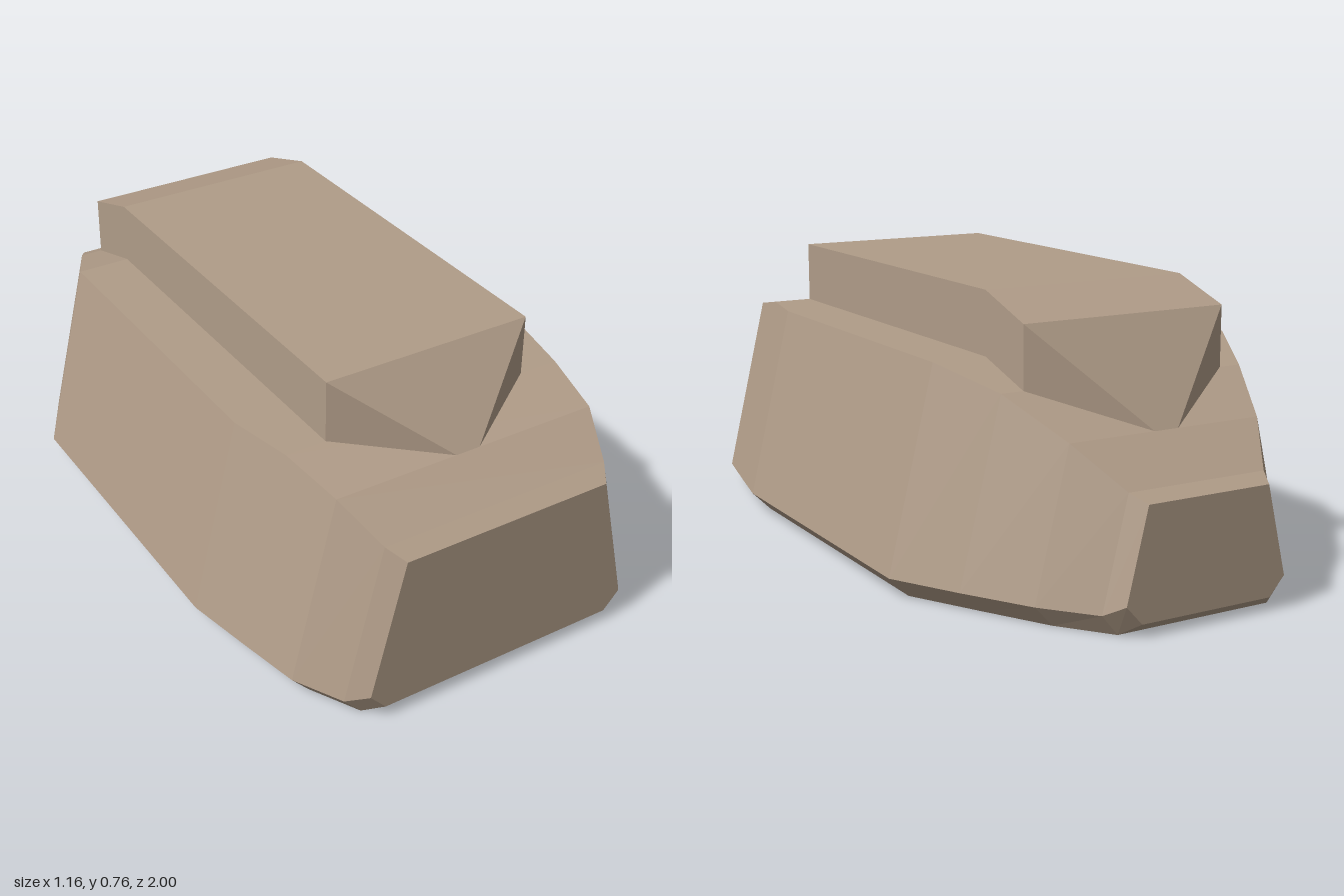
import * as THREE from 'three';

// Joins equal-sized rings of points, ordered front to back, into a closed faceted shell.
function loft(rings) {
  const pos = [];
  const tri = (a, b, c) => {
    const area = b.clone().sub(a).cross(c.clone().sub(a)).length();
    if (area > 1e-7) for (const p of [a, b, c]) pos.push(p.x, p.y, p.z);
  };
  const n = rings[0].length;
  for (let i = 0; i < rings.length - 1; i++) {
    const p = rings[i], q = rings[i + 1];
    for (let j = 0; j < n; j++) {
      const k = (j + 1) % n;
      tri(p[j], q[j], q[k]);
      tri(p[j], q[k], p[k]);
    }
  }
  const front = rings[0], back = rings[rings.length - 1];
  for (let j = 1; j < n - 1; j++) {
    tri(front[0], front[j], front[j + 1]);
    tri(back[0], back[j + 1], back[j]);
  }
  const geo = new THREE.BufferGeometry();
  geo.setAttribute('position', new THREE.Float32BufferAttribute(pos, 3));
  geo.computeVertexNormals();
  return geo;
}

// Mirrors the +x half of a section (bottom to top) into a full ring.
function ring(z, half) {
  const right = half.map(([x, y]) => new THREE.Vector3(x, y, z));
  const left = half.map(([x, y]) => new THREE.Vector3(-x, y, z)).reverse();
  return [...right, ...left];
}

export function createModel() {
  const group = new THREE.Group();
  const material = new THREE.MeshStandardMaterial({ color: 0xb09c88, flatShading: true });
  const add = (name, geometry) => {
    const mesh = new THREE.Mesh(geometry, material);
    mesh.name = name;
    group.add(mesh);
  };

  // Lower body: z, floor half width, floor y, sill half width, sill y, deck y.
  // The sides lean inwards at a constant slope from sill to deck.
  const lean = 0.24;
  const sections = [
    [1.0, 0.345, 0.035, 0.39, 0.085, 0.465],
    [0.95, 0.385, 0, 0.435, 0.055, 0.49],
    [0.82, 0.455, 0, 0.505, 0.055, 0.565],
    [0.64, 0.49, 0, 0.543, 0.055, 0.595],
    [0.455, 0.525, 0, 0.58, 0.055, 0.595],
    [-0.455, 0.525, 0, 0.58, 0.055, 0.595],
    [-0.64, 0.425, 0, 0.48, 0.055, 0.54],
    [-0.82, 0.325, 0, 0.375, 0.055, 0.445],
    [-0.95, 0.225, 0, 0.27, 0.055, 0.345],
    [-1.0, 0.19, 0.035, 0.235, 0.085, 0.325],
  ];
  add('lowerBody', loft(sections.map(([z, floor, y0, sill, y1, top]) =>
    ring(z, [[floor, y0], [sill, y1], [sill - lean * (top - y1), top]]))));

  // Cabin: z, half width, base y, roof y; both ends taper down to a narrow edge on the deck.
  const cabin = [
    [0.82, 0.035, 0.565, 0.565],
    [0.64, 0.3, 0.595, 0.765],
    [-0.455, 0.3, 0.595, 0.765],
    [-0.64, 0.3, 0.54, 0.705],
    [-0.82, 0.035, 0.445, 0.445],
  ];
  add('cabin', loft(cabin.map(([z, w, base, roof]) => ring(z, [[w, base], [w, roof]]))));

  return group;
}
